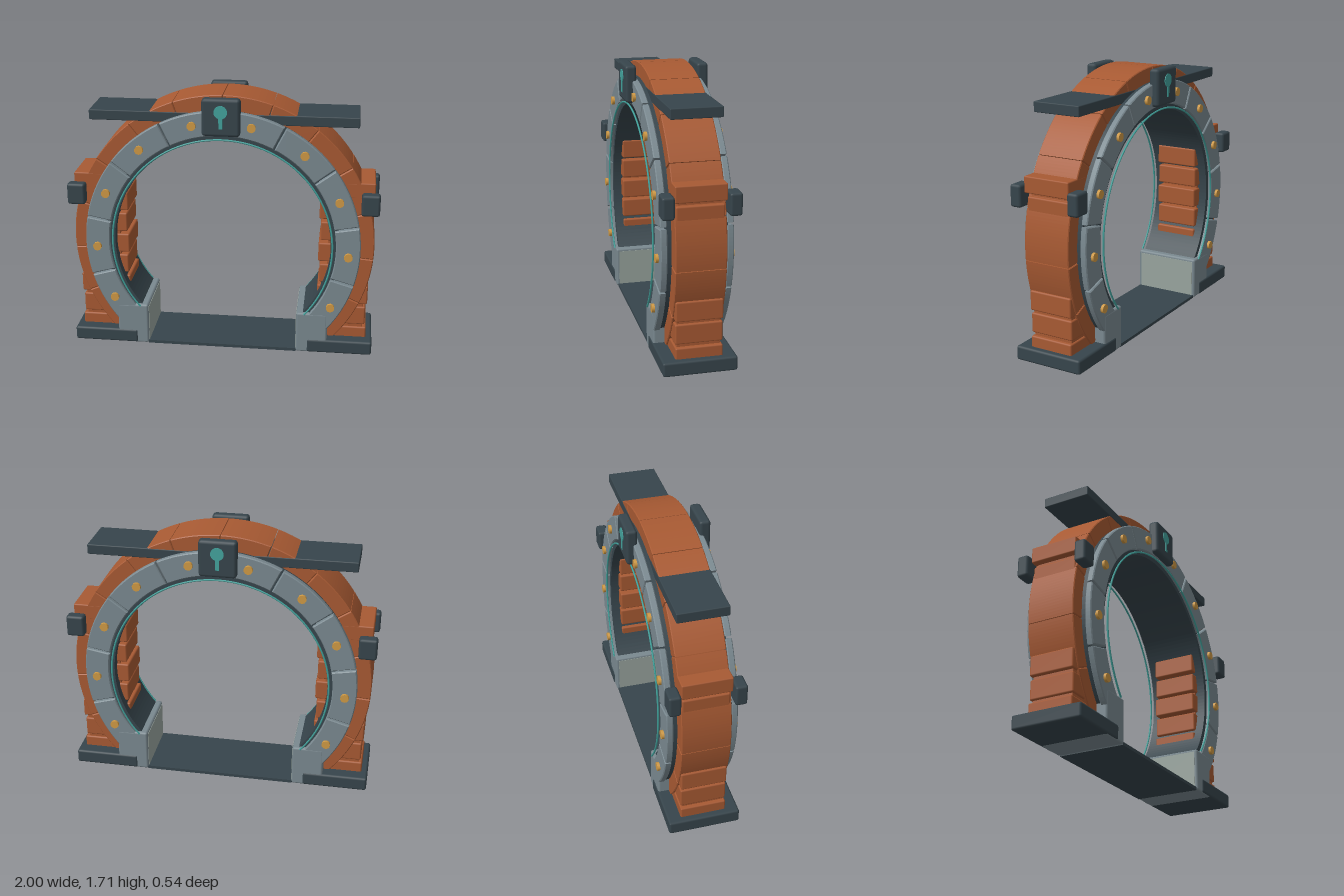
import * as THREE from 'three';
import { RoundedBoxGeometry } from 'three/addons/geometries/RoundedBoxGeometry.js';

const CY = 0.735;                 // height of the arch centre
const SWEEP = THREE.MathUtils.degToRad(265);
const START = Math.PI / 2 - SWEEP / 2;

const mat = (name, color, extra = {}) => {
  const m = new THREE.MeshStandardMaterial({ color, ...extra });
  m.name = name;
  return m;
};

export function createModel() {
  const brick = mat('brick', 0xa85a33);
  const stone = mat('stone', 0x7a8990);
  const dark = mat('darkMetal', 0x37454c);
  const pale = mat('paleStone', 0x98a49e);
  const gold = mat('gold', 0xd09a45);
  const teal = mat('teal', 0x43a39d);

  const model = new THREE.Group();
  model.name = 'archGate';

  const add = (name, geometry, material, x = 0, y = 0, z = 0) => {
    const mesh = new THREE.Mesh(geometry, material);
    mesh.name = name;
    mesh.position.set(x, y, z);
    model.add(mesh);
    return mesh;
  };

  // chamfered box given by its limits
  const block = (name, material, [x0, x1], [y0, y1], [z0, z1], r = 0.01) =>
    add(name, new RoundedBoxGeometry(x1 - x0, y1 - y0, z1 - z0, 1, r), material,
      (x0 + x1) / 2, (y0 + y1) / 2, (z0 + z1) / 2);

  // arc-shaped block around the arch centre, extruded from z0 to z1
  const arc = (name, material, r0, r1, a0, a1, z0, z1, bevel, segments) => {
    const shape = new THREE.Shape();
    shape.absarc(0, 0, r1, a0, a1, false);
    shape.absarc(0, 0, r0, a1, a0, true);
    shape.closePath();
    const geometry = new THREE.ExtrudeGeometry(shape, {
      depth: z1 - z0 - 2 * bevel, curveSegments: segments, bevelEnabled: bevel > 0,
      bevelSize: bevel, bevelThickness: bevel, bevelOffset: -bevel, bevelSegments: 1,
    });
    return add(name, geometry, material, 0, CY, z0 + bevel);
  };

  // ring of bricks
  const bricks = 14;
  for (let i = 0; i < bricks; i++) {
    const step = SWEEP / bricks;
    const a = START + i * step;
    arc('archBrick', brick, 0.75, 0.977, a + 0.002, a + step - 0.002, -0.155, 0.155, 0.005, 8);
  }

  // inner lining
  arc('lining', dark, 0.7, 0.76, START, START + SWEEP, -0.2, 0.2, 0, 64);

  // stone facing with studs, on both faces
  const stones = 10;
  for (const s of [1, -1]) {
    const span = (a, b) => (s > 0 ? [a, b] : [-b, -a]);
    arc('facingBacking', dark, 0.72, 0.882, START, START + SWEEP, ...span(0.15, 0.187), 0, 64);
    for (let i = 0; i < stones; i++) {
      const step = SWEEP / stones;
      const a = START + i * step;
      arc('facingStone', stone, 0.733, 0.89, a + 0.007, a + step - 0.007, ...span(0.18, 0.222), 0.006, 8);
      const mid = a + step / 2;
      const stud = add('stud', new THREE.CylinderGeometry(0.028, 0.028, 0.03, 10), gold,
        0.815 * Math.cos(mid), CY + 0.815 * Math.sin(mid), s * 0.225);
      stud.rotation.x = Math.PI / 2;
    }

    // glowing trim
    const trim = new THREE.TorusGeometry(0.711, 0.006, 6, 72, SWEEP - 0.08);
    trim.rotateZ(START + 0.04);
    add('trim', trim, teal, 0, CY, s * 0.228);

    // keystone with a keyhole plate
    block('keystone', dark, [-0.12, 0.12], [1.475, 1.713], span(0.195, 0.266), 0.02);
    const keyhole = new THREE.Shape();
    keyhole.absarc(0, 0, 0.042, -Math.PI / 2 + 0.3, Math.PI * 1.5 - 0.3, false);
    keyhole.lineTo(-0.012, -0.105);
    keyhole.lineTo(0.012, -0.105);
    keyhole.closePath();
    const plate = new THREE.ExtrudeGeometry(keyhole, { depth: 0.006, bevelEnabled: false });
    add('keyhole', plate, teal, 0, 1.632, s > 0 ? 0.264 : -0.27);
  }

  // crossbeam and threshold
  block('crossbeam', dark, [-0.85, 0.85], [1.53, 1.595], [-0.158, 0.158], 0.006);
  add('threshold', new THREE.BoxGeometry(0.99, 0.02, 0.43), dark, 0, 0.01, 0);

  for (const side of [1, -1]) {
    const xs = (a, b) => (side > 0 ? [a, b] : [-b, -a]);

    // stacked bricks behind the ring
    for (let i = 0; i < 7; i++) {
      const y = 0.04 + i * 0.1465;
      const shift = i % 2 ? 0.01 : 0;
      block('pillarBrick', brick, xs(0.62 + shift, 0.95 - shift), [y, y + 0.127], [-0.146, 0.146], 0.01);
    }
    block('pillarCore', brick, xs(0.68, 0.925), [0.05, 1.12], [-0.135, 0.135], 0.005);
    block('pillarCap', brick, xs(0.66, 0.967), [1.07, 1.173], [-0.156, 0.156], 0.008);

    // corner clamps
    for (const z of [[0.162, 0.238], [-0.238, -0.162]]) {
      block('clamp', dark, xs(0.882, 0.998), [0.98, 1.12], z, 0.016);
    }

    // footing
    block('basePlate', dark, xs(0.565, 0.99), [0.005, 0.097], [-0.23, 0.23], 0.014);
    block('pedestal', stone, xs(0.492, 0.697), [0.002, 0.283], [-0.224, 0.224], 0.014);
    add('pedestalPanel', new THREE.BoxGeometry(0.006, 0.245, 0.41), pale, side * 0.492, 0.143, 0);
  }

  return model;
}
